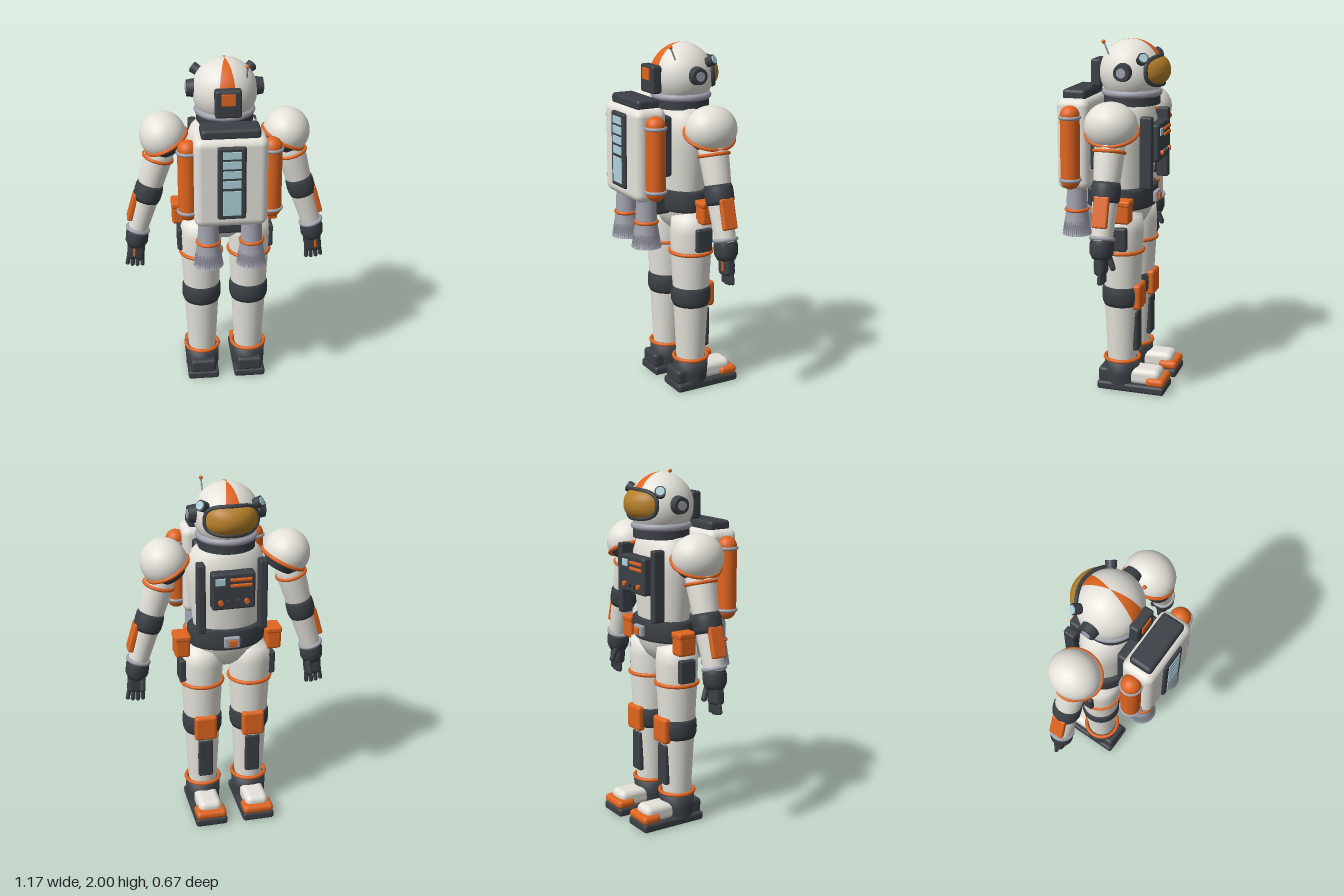
import * as THREE from 'three';
import { RoundedBoxGeometry } from 'three/addons/geometries/RoundedBoxGeometry.js';

const mat = (name, color, side = THREE.FrontSide) => {
  const m = new THREE.MeshStandardMaterial({ color, side });
  m.name = name;
  return m;
};

const V = (x, y, z) => new THREE.Vector3(x, y, z);

export function createModel() {
  const white = mat('suit white', 0xe4e2da), orange = mat('trim orange', 0xe0651f);
  const dark = mat('rubber charcoal', 0x3b4046), grey = mat('metal grey', 0xa0a2ae, THREE.DoubleSide);
  const gold = mat('visor gold', 0xb47f2a), glass = mat('glass blue', 0xaed2dc);

  const model = new THREE.Group();
  model.name = 'astronaut';

  // helpers
  const group = (parent, name, x = 0, y = 0, z = 0) => {
    const g = new THREE.Group();
    g.name = name;
    g.position.set(x, y, z);
    parent.add(g);
    return g;
  };
  const add = (parent, name, geo, m, x = 0, y = 0, z = 0) => {
    const mesh = new THREE.Mesh(geo, m);
    mesh.name = name;
    mesh.position.set(x, y, z);
    parent.add(mesh);
    return mesh;
  };
  const box = (w, h, d, r = 0.015) => new RoundedBoxGeometry(w, h, d, 3, Math.min(r, w / 2.01, h / 2.01, d / 2.01));
  const cyl = (rt, rb, h) => new THREE.CylinderGeometry(rt, rb, h, 32);
  const ring = (r, t) => new THREE.TorusGeometry(r, t, 10, 40).rotateX(Math.PI / 2);
  // profile points are [radius, y], listed from bottom to top
  const lathe = (pts, sz = 1) => new THREE.LatheGeometry(pts.map(p => new THREE.Vector2(p[0], p[1])), 40).scale(1, 1, sz);
  // bellows-like joint: bulging band centred on its own origin
  const joint = (r, h) => lathe([[0, -h / 2], [r * 0.9, -h / 2], [r * 0.98, -h * 0.3], [r, 0], [r * 0.98, h * 0.3], [r * 0.9, h / 2], [0, h / 2]]);

  const Z = -0.058; // depth of the body axis

  // helmet
  const helmet = group(model, 'helmet', 0, 1.82, -0.07);
  add(helmet, 'helmetShell', new THREE.SphereGeometry(0.18, 48, 32), white);
  for (const [name, mid] of [['backStripe', Math.PI / 2], ['faceStripe', Math.PI * 1.5]])
    add(helmet, name, new THREE.SphereGeometry(0.1815, 8, 24, mid - 0.245, 0.49, 0, 1.5), orange);

  // visor: rounded patch bulging from the helmet
  const visorPoint = (c, s, rho) => {
    const soft = v => Math.sign(v) * Math.pow(Math.abs(v), 0.7);
    const az = 0.88 * soft(c) * rho, el = 0.09 + 0.43 * soft(s) * rho;
    const r = 0.187 + 0.03 * (1 - rho * rho);
    return V(-r * Math.sin(az) * Math.cos(el), r * Math.sin(el), -r * Math.cos(az) * Math.cos(el));
  };
  const visorGeo = new THREE.RingGeometry(0.001, 1, 64, 10);
  const vp = visorGeo.attributes.position;
  for (let i = 0; i < vp.count; i++) {
    const rho = Math.hypot(vp.getX(i), vp.getY(i));
    const p = visorPoint(vp.getX(i) / rho, vp.getY(i) / rho, rho);
    vp.setXYZ(i, p.x, p.y, p.z);
  }
  visorGeo.computeVertexNormals();
  add(helmet, 'visor', visorGeo, gold);
  const rim = Array.from({ length: 48 }, (_, i) => visorPoint(Math.cos(i * Math.PI / 24), Math.sin(i * Math.PI / 24), 1));
  add(helmet, 'visorRim', new THREE.TubeGeometry(new THREE.CatmullRomCurve3(rim, true), 96, 0.012, 8, true), dark);

  // ear pods and lamps
  for (const s of [-1, 1]) {
    add(helmet, 'earPod', cyl(0.045, 0.052, 0.045).rotateZ(-s * Math.PI / 2), dark, s * 0.188, 0.015, 0);
    add(helmet, 'earHub', cyl(0.026, 0.026, 0.012).rotateZ(Math.PI / 2), grey, s * 0.21, 0.015, 0);
    const lamp = group(helmet, 'lamp', s * 0.148, 0.085, -0.1);
    lamp.quaternion.setFromUnitVectors(V(0, 1, 0), V(s * 0.148, 0.085, -0.1).normalize());
    add(lamp, 'lampBody', cyl(0.031, 0.028, 0.045), dark);
    add(lamp, 'lampLens', cyl(0.023, 0.023, 0.008), glass, 0, 0.025, 0);
  }

  // rear helmet unit and antenna
  add(helmet, 'rearUnit', box(0.145, 0.155, 0.06, 0.014), dark, 0, -0.008, 0.19);
  add(helmet, 'rearPlate', box(0.076, 0.066, 0.009, 0.003), orange, 0, 0.02, 0.222);
  const stem = [V(0.11, 0.1, 0.1), V(0.11, 0.172, 0.13)];
  add(helmet, 'antennaStem', new THREE.TubeGeometry(new THREE.LineCurve3(...stem), 1, 0.005, 8), grey);
  add(helmet, 'antennaTip', new THREE.SphereGeometry(0.011, 14, 10), orange, 0.11, 0.17, 0.13);

  // neck
  add(model, 'neckRing', ring(0.15, 0.02), grey, 0, 1.71, -0.07);
  add(model, 'neckSeal', cyl(0.158, 0.158, 0.06), dark, 0, 1.675, -0.07);

  // torso, belt and pelvis
  add(model, 'torso', lathe([[0.18, 1.15], [0.198, 1.3], [0.215, 1.43], [0.22, 1.5], [0.213, 1.56], [0.19, 1.62], [0.15, 1.66], [0, 1.675]], 0.69), white, 0, 0, Z);
  add(model, 'belt', lathe([[0, 1.07], [0.205, 1.07], [0.22, 1.085], [0.22, 1.175], [0.205, 1.19], [0, 1.19]], 0.7), dark, 0, 0, Z);
  add(model, 'pelvis', lathe([[0, 0.925], [0.06, 0.93], [0.13, 0.97], [0.18, 1.03], [0.195, 1.08]], 0.66), white, 0, 0, Z);
  add(model, 'buckle', box(0.09, 0.065, 0.03, 0.01), grey, 0, 1.125, -0.217);
  add(model, 'buckleInset', box(0.045, 0.036, 0.014, 0.004), orange, 0, 1.125, -0.236);

  // chest panel with controls
  const panel = group(model, 'chestPanel', 0, 1.445, -0.225);
  add(panel, 'panelBody', box(0.24, 0.21, 0.07, 0.014), dark);
  add(panel, 'screen', box(0.055, 0.04, 0.012, 0.003), glass, 0.075, 0.06, -0.036);
  for (const y of [0.068, 0.035]) add(panel, 'controlBar', box(0.12, 0.017, 0.016, 0.004), orange, -0.04, y, -0.037);
  for (const [x, m] of [[0.075, orange], [0.025, dark], [-0.025, dark], [-0.07, orange]])
    add(panel, 'button', cyl(0.014, 0.014, 0.02).rotateX(Math.PI / 2), m, x, -0.058, -0.04);

  // backpack
  const pack = group(model, 'backpack', 0, 1.422, 0.22);
  add(pack, 'packBody', box(0.4, 0.515, 0.19, 0.045), white);
  add(pack, 'packTop', box(0.32, 0.06, 0.135, 0.02), dark, 0, 0.275, 0);
  add(pack, 'packHarness', box(0.3, 0.34, 0.08), dark, 0, 0.03, -0.11);
  add(pack, 'packMount', box(0.17, 0.11, 0.14), dark, 0, -0.315, -0.12);
  add(pack, 'rearPanel', box(0.155, 0.42, 0.03, 0.012), dark, 0, 0.013, 0.097);
  for (const [lo, hi] of [[1.58, 1.622], [1.524, 1.568], [1.469, 1.512], [1.411, 1.456], [1.25, 1.395]])
    add(pack, 'rearWindow', box(0.1, hi - lo, 0.008, 0.002), glass, 0, (lo + hi) / 2 - 1.422, 0.112);
  for (const s of [-1, 1]) {
    add(pack, 'tank', new THREE.CapsuleGeometry(0.055, 0.36, 10, 28), orange, s * 0.228, -0.007, -0.002);
    for (const y of [1.585, 1.235]) add(pack, 'tankBand', ring(0.054, 0.01), grey, s * 0.228, y - 1.422, -0.002);
    add(pack, 'nozzle', lathe([[0, -0.4], [0.05, -0.4], [0.084, -0.527], [0.07, -0.44], [0.06, -0.375], [0.055, -0.24]]), grey, s * 0.12, 0, 0);
    add(pack, 'nozzleRing', ring(0.061, 0.01), orange, s * 0.12, -0.382, 0);
  }

  for (const s of [-1, 1]) {
    const side = s > 0 ? 'left' : 'right';

    // harness strap and belt pouches
    add(model, side + 'Strap', box(0.045, 0.4, 0.07, 0.01), dark, s * 0.172, 1.4, -0.205);
    add(model, side + 'BeltPouch', box(0.085, 0.12, 0.11, 0.016), orange, s * 0.262, 1.08, -0.09);
    add(model, side + 'PouchLid', box(0.093, 0.035, 0.118, 0.012), orange, s * 0.262, 1.135, -0.09);
    add(model, side + 'ThighPouch', box(0.04, 0.135, 0.1, 0.012), dark, s * 0.258, 0.922, -0.07);

    // shoulder dome facing up and outward
    const shoulder = group(model, side + 'Shoulder', s * 0.345, 1.572, Z);
    shoulder.rotation.z = -s * 0.46;
    shoulder.scale.z = 1.12;
    add(shoulder, 'shoulderDome', new THREE.SphereGeometry(0.13, 40, 24, 0, Math.PI * 2, 0, 1.9), white);
    add(shoulder, 'shoulderRing', ring(0.125, 0.011), orange, 0, -0.042, 0);
    add(shoulder, 'shoulderJoint', cyl(0.12, 0.08, 0.06), dark, 0, -0.068, 0);

    // arm hanging along its own -y
    const arm = group(model, side + 'Arm', s * 0.345, 1.545, Z);
    arm.rotation.z = s * 0.28;
    add(arm, 'upperArm', lathe([[0.07, -0.3], [0.077, -0.2], [0.082, -0.11], [0.08, -0.02], [0, 0]]), white);
    add(arm, 'armRing', ring(0.082, 0.01), orange, 0, -0.11, 0);
    add(arm, 'elbow', joint(0.08, 0.11), dark, 0, -0.325, 0);
    add(arm, 'forearm', lathe([[0.056, -0.58], [0.07, -0.36]]), white);
    add(arm, 'forearmPanel', box(0.032, 0.17, 0.085, 0.01), orange, s * 0.064, -0.435, 0);
    add(arm, 'wristRing', ring(0.06, 0.011), grey, 0, -0.572, 0);

    // glove
    const hand = group(arm, side + 'Hand', 0, -0.58, 0);
    hand.rotation.z = -s * 0.18;
    add(hand, 'cuff', lathe([[0, -0.1], [0.05, -0.1], [0.064, -0.07], [0.066, -0.02], [0.058, 0.005]]), dark);
    add(hand, 'palm', box(0.1, 0.11, 0.062, 0.024), dark, 0, -0.135, 0);
    add(hand, 'knuckleStrip', box(0.014, 0.07, 0.008, 0.003), orange, s * 0.012, -0.125, 0.033);
    for (let i = 0; i < 4; i++) {
      const finger = add(hand, 'finger', new THREE.CapsuleGeometry(0.0125, 0.055, 6, 12), dark,
        s * (i - 1.5) * 0.027, -0.208 + Math.abs(i - 1.4) * 0.006, -0.006);
      finger.rotation.z = s * (i - 1.5) * 0.07;
    }
    const thumb = add(hand, 'thumb', new THREE.CapsuleGeometry(0.016, 0.06, 6, 12), dark, -s * 0.03, -0.125, -0.045);
    thumb.rotation.x = 0.35;

    // leg
    const leg = group(model, side + 'Leg', s * 0.14, 0, Z);
    add(leg, 'thigh', lathe([[0.102, 0.55], [0.108, 0.68], [0.116, 0.83], [0.12, 0.95], [0.112, 1.04], [0, 1.09]]), white);
    add(leg, 'thighRing', ring(0.119, 0.011), orange, 0, 0.835, 0);
    add(leg, 'knee', joint(0.115, 0.12), dark, 0, 0.573, 0);
    add(leg, 'shin', lathe([[0.082, 0.17], [0.09, 0.32], [0.102, 0.55]]), white);
    add(leg, 'kneePad', box(0.13, 0.15, 0.05, 0.018), orange, 0, 0.568, -0.1);
    add(leg, 'shinPad', box(0.085, 0.24, 0.035, 0.012), dark, 0, 0.36, -0.087);

    // boot
    add(leg, 'bootRing', ring(0.098, 0.011), orange, 0, 0.185, 0);
    add(leg, 'bootShaft', lathe([[0.098, 0.04], [0.1, 0.1], [0.102, 0.185], [0, 0.187]]), dark);
    add(leg, 'sole', box(0.186, 0.05, 0.4, 0.016), dark, 0, 0.025, -0.072);
    add(leg, 'heel', box(0.15, 0.085, 0.09, 0.02), dark, 0, 0.085, 0.08);
    add(leg, 'bootUpper', box(0.135, 0.1, 0.22, 0.035), white, 0, 0.087, -0.13);
    add(leg, 'toeCap', box(0.178, 0.05, 0.11, 0.022), orange, 0, 0.069, -0.217);
  }
  return model;
}
